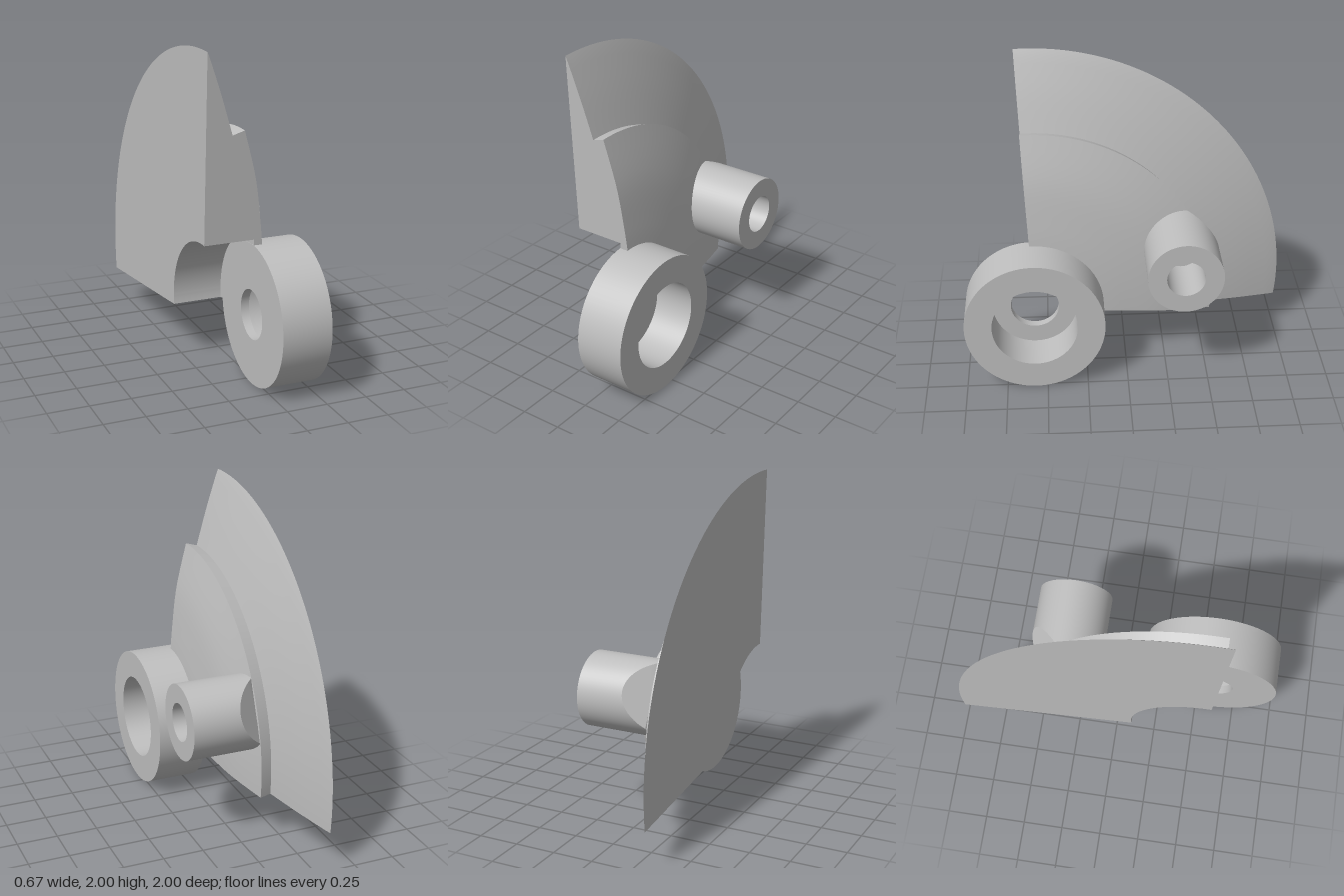
import * as THREE from 'three';
import { mergeGeometries, toCreasedNormals } from 'three/addons/utils/BufferGeometryUtils.js';

const HUB = { y: 0.432, z: 0.57 };   // axis of the hub and the sector
const PIN = { y: 0.786, z: -0.342 }; // axis of the pin boss
const deg = THREE.MathUtils.degToRad;
const v2 = ([r, h]) => new THREE.Vector2(r, h);

// Revolve a closed counter-clockwise (radius, height) profile about the x axis.
// A partial turn gets two flat end caps.
function revolve(points, segments, start = 0, length = Math.PI * 2) {
  const parts = [new THREE.LatheGeometry([...points, points[0]], segments, start, length)];
  if (length < Math.PI * 2) {
    for (const end of [false, true]) {
      const cap = new THREE.ShapeGeometry(new THREE.Shape(points));
      if (end) cap.index.array.reverse();
      cap.rotateY((end ? start + length : start) - Math.PI / 2);
      parts.push(cap);
    }
  }
  return mergeGeometries(parts).rotateZ(-Math.PI / 2);
}

export function createModel() {
  const model = new THREE.Group();
  model.name = 'sectorLever';
  const grey = new THREE.MeshStandardMaterial({ color: 0xbebebe });
  grey.name = 'light grey';

  const add = (name, geometry, axis) => {
    const mesh = new THREE.Mesh(toCreasedNormals(geometry, 0.4), grey);
    mesh.name = name;
    mesh.position.set(0, axis.y, axis.z);
    model.add(mesh);
  };

  // Domed sector plate with a stepped top and a clearance arc behind the hub
  const outerDome = new THREE.SplineCurve([[1.572, -0.333], [1.33, -0.25], [1.095, -0.178]].map(v2));
  const innerDome = new THREE.SplineCurve([[1.117, -0.105], [0.83, -0.03], [0.56, 0.008], [0.42, 0.022]].map(v2));
  const sectorProfile = [
    v2([0.465, -0.335]), v2([1.572, -0.335]),
    ...outerDome.getPoints(10).slice(1), ...innerDome.getPoints(14),
    v2([0.42, -0.03]), v2([0.465, -0.03]),
  ];
  add('sectorPlate', revolve(sectorProfile, 64, deg(-186.8), deg(99.7)), HUB);

  // Hub ring with a counterbore and a smaller through hole
  const hubProfile = [[0.15, -0.032], [0.43, -0.032], [0.43, 0.272], [0.262, 0.272], [0.262, 0.02], [0.15, 0.02]];
  add('hubRing', revolve(hubProfile.map(v2), 72), HUB);

  // Pin boss with a blind bore; its foot is bevelled where it overhangs the step
  const foot = -0.105, edge = 1.1 - 0.978;
  const boss = new THREE.LatheGeometry(
    [[0, foot], [0.229, foot], [0.229, 0.33], [0.116, 0.33], [0.116, -0.01], [0, -0.01]].map(v2), 72
  ).rotateZ(-Math.PI / 2);
  const p = boss.attributes.position;
  const out = { y: 0.362, z: -0.932 }; // direction away from the hub
  for (let i = 0; i < p.count; i++) {
    if (p.getX(i) > foot + 0.001) continue;
    const y = p.getY(i), z = p.getZ(i);
    const u = y * out.y + z * out.z;
    if (Math.hypot(y, z) < 0.01) p.setXYZ(i, foot, out.y * edge, out.z * edge); // fan centre on the bevel line
    else if (u > edge) p.setX(i, foot + 1.33 * (u - edge));
  }
  add('pinBoss', boss, PIN);

  return model;
}
